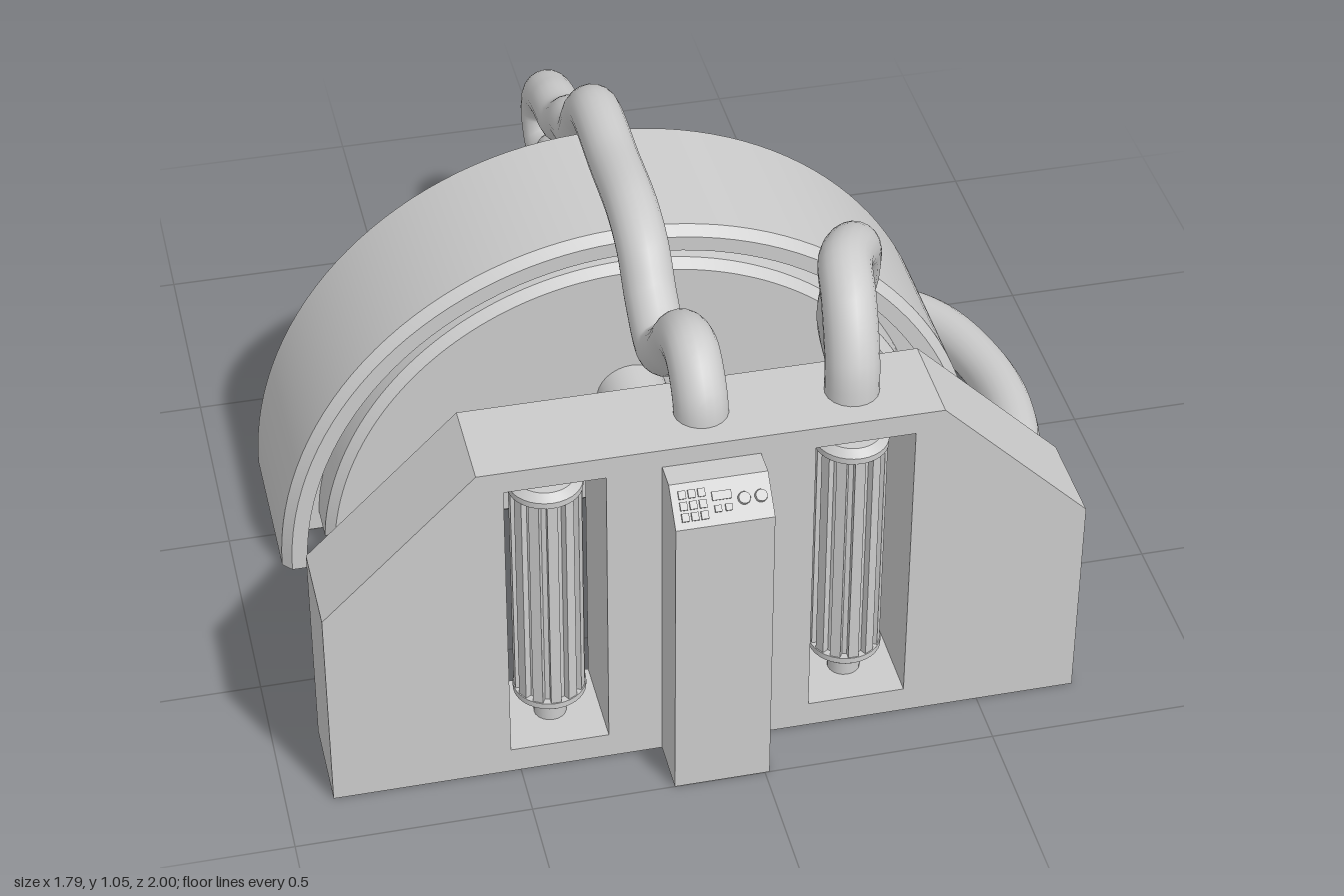
import * as THREE from 'three';
import { toCreasedNormals } from 'three/addons/utils/BufferGeometryUtils.js';

const grey = new THREE.MeshStandardMaterial({ color: 0xcccccc, side: THREE.DoubleSide });
const AXIS_X = -0.09;

function add(parent, name, geo, x = 0, y = 0, z = 0) {
  const mesh = new THREE.Mesh(geo, grey);
  mesh.name = name;
  mesh.position.set(x, y, z);
  parent.add(mesh);
  return mesh;
}

const polygon = (pts) => new THREE.Shape(pts.map(([x, y]) => new THREE.Vector2(x, y)));

// Drops the triangles lying on the ground, leaving a hollow shell
function openBottom(geo) {
  const p = geo.attributes.position, n = geo.attributes.normal;
  const pos = [], nor = [];
  for (let i = 0; i < p.count; i += 3) {
    if ([0, 1, 2].every((k) => Math.abs(p.getY(i + k)) < 1e-4)) continue;
    for (let k = i; k < i + 3; k++) {
      pos.push(p.getX(k), p.getY(k), p.getZ(k));
      nor.push(n.getX(k), n.getY(k), n.getZ(k));
    }
  }
  const out = new THREE.BufferGeometry();
  out.setAttribute('position', new THREE.Float32BufferAttribute(pos, 3));
  out.setAttribute('normal', new THREE.Float32BufferAttribute(nor, 3));
  return out;
}

// Revolved profile of [radius, height] pairs
function lathe(pts, segments, start = 0, length = Math.PI * 2) {
  const g = new THREE.LatheGeometry(pts.map(([r, h]) => new THREE.Vector2(r, h)), segments, start, length);
  return toCreasedNormals(g, 0.45);
}

function hose(parent, name, pts) {
  const curve = new THREE.CatmullRomCurve3(pts.map((p) => new THREE.Vector3(...p)));
  add(parent, name, new THREE.TubeGeometry(curve, 160, 0.057, 20, false));
}

// Ribbed canister on a thin rod
function makeCanister(x) {
  const g = new THREE.Group();
  g.name = 'ribbedCanister';
  g.position.set(x, 0, 0.77);
  add(g, 'rod', new THREE.CylinderGeometry(0.035, 0.035, 0.7, 20), 0, 0.41, 0);
  add(g, 'core', new THREE.CylinderGeometry(0.062, 0.062, 0.56, 32), 0, 0.41, 0);
  const cap = [[0, -0.015], [0.062, -0.015], [0.078, 0], [0.078, 0.014], [0, 0.014]];
  add(g, 'bottomCap', lathe(cap, 32), 0, 0.13, 0);
  add(g, 'topCap', lathe(cap, 32), 0, 0.69, 0).rotation.x = Math.PI;
  for (let i = 0; i < 12; i++) {
    const a = (i / 12) * Math.PI * 2;
    const rib = add(g, 'rib', new THREE.BoxGeometry(0.022, 0.54, 0.02), Math.sin(a) * 0.065, 0.41, Math.cos(a) * 0.065);
    rib.rotation.y = a;
  }
  return g;
}

// Pressure tank pointing backwards
function makeTank(x, y) {
  const g = new THREE.Group();
  g.name = 'tank';
  g.position.set(x, y, -0.26);
  g.rotation.x = -Math.PI / 2;
  add(g, 'tankBody', lathe([[0.154, 0], [0.154, 0.25], [0.088, 0.335], [0.058, 0.335], [0.058, 0.345],
    [0.052, 0.35], [0.038, 0.35], [0.034, 0.34], [0, 0.34]], 40));
  return g;
}

export function createModel() {
  const model = new THREE.Group();
  model.name = 'generator';

  // Front panel with two windows
  const panel = polygon([[-0.9, 0], [0.715, 0], [0.715, 0.49], [0.395, 0.81], [-0.575, 0.81], [-0.9, 0.49]]);
  for (const x of [-0.415, 0.23]) {
    const w = 0.105;
    panel.holes.push(new THREE.Path([[x - w, 0.06], [x - w, 0.76], [x + w, 0.76], [x + w, 0.06]]
      .map(([a, b]) => new THREE.Vector2(a, b))));
    model.add(makeCanister(x));
  }
  const panelGeo = new THREE.ExtrudeGeometry(panel, { depth: 0.212, bevelEnabled: false });
  add(model, 'frontPanel', openBottom(panelGeo.translate(0, 0, 0.665)));

  // Console with a sloped top: side profile swept along x
  const side = polygon([[-0.875, 0], [-0.875, 0.767], [-0.935, 0.767], [-1, 0.7], [-1, 0]]);
  const consoleGeo = new THREE.ExtrudeGeometry(side, { depth: 0.205, bevelEnabled: false });
  add(model, 'console', openBottom(consoleGeo.rotateY(Math.PI / 2).translate(-0.195, 0, 0)));

  // Buttons on the slope
  const controls = new THREE.Group();
  controls.name = 'controls';
  controls.position.set(AXIS_X, 0.7335, 0.9675);
  controls.rotation.x = 0.77;
  for (let i = 0; i < 3; i++) {
    for (let j = 0; j < 3; j++) {
      add(controls, 'key', new THREE.BoxGeometry(0.015, 0.008, 0.017), -0.082 + i * 0.02, 0.002, -0.023 + j * 0.023);
    }
  }
  add(controls, 'display', new THREE.BoxGeometry(0.04, 0.006, 0.018), -0.002, 0.002, -0.012);
  for (const x of [-0.013, 0.009]) add(controls, 'switch', new THREE.BoxGeometry(0.014, 0.008, 0.014), x, 0.002, 0.014);
  for (const x of [0.043, 0.078]) add(controls, 'knob', new THREE.CylinderGeometry(0.012, 0.014, 0.01, 16), x, 0.003, 0);
  model.add(controls);

  // Half-round drum rim with a groove on both faces
  const rim = lathe([[0.66, -0.16], [0.75, -0.16], [0.75, -0.29], [0.785, -0.29], [0.805, -0.268],
    [0.805, 0.108], [0.785, 0.13], [0.75, 0.13], [0.75, 0], [0.66, 0]], 64, Math.PI / 2, Math.PI);
  add(model, 'drumRim', rim.rotateX(Math.PI / 2), AXIS_X, 0, 0);

  // Solid half-disc filling the rim
  const half = new THREE.Shape();
  const start = Math.asin(0.07 / 0.685);
  half.absarc(0, 0, 0.685, start, Math.PI - start, false);
  const core = new THREE.ExtrudeGeometry(half, {
    depth: 0.34, bevelEnabled: true, bevelSize: 0.02, bevelThickness: 0.02, bevelSegments: 1, curveSegments: 48,
  });
  add(model, 'drumCore', toCreasedNormals(core, 0.4), AXIS_X, 0, -0.25);

  // Shaft between drum and panel
  const shaft = new THREE.CylinderGeometry(0.08, 0.08, 0.6, 32).rotateX(Math.PI / 2);
  add(model, 'shaft', shaft, AXIS_X, 0.35, 0.37);

  // Tanks behind the drum
  for (const [x, y] of [[-0.418, 0.275], [AXIS_X, 0.475], [0.232, 0.275]]) model.add(makeTank(x, y));

  // Upper hose stays in one plane: [z, y]
  hose(model, 'upperHose', [[0.775, 0.76], [0.76, 0.84], [0.69, 0.9], [0.6, 0.875], [0.5, 0.77], [0.41, 0.71],
    [0.31, 0.76], [0.23, 0.835], [0.13, 0.868], [-0.05, 0.868], [-0.26, 0.865], [-0.34, 0.81], [-0.42, 0.71], [-0.52, 0.672],
    [-0.62, 0.605], [-0.74, 0.58], [-0.83, 0.54], [-0.86, 0.475], [-0.825, 0.415], [-0.75, 0.41], [-0.68, 0.465],
    [-0.57, 0.478]].map(([z, y]) => [AXIS_X, y, z]));

  // Lower hose runs over the ground around the drum
  hose(model, 'lowerHose', [[0.225, 0.76, 0.775], [0.23, 0.87, 0.755], [0.24, 0.97, 0.68], [0.255, 0.997, 0.59],
    [0.305, 0.95, 0.48], [0.328, 0.83, 0.4], [0.325, 0.68, 0.345], [0.35, 0.55, 0.322], [0.395, 0.4, 0.335],
    [0.45, 0.26, 0.325], [0.52, 0.13, 0.28], [0.6, 0.07, 0.25], [0.71, 0.058, 0.23], [0.8, 0.058, 0.15], [0.835, 0.058, 0],
    [0.825, 0.058, -0.17], [0.75, 0.058, -0.37], [0.6, 0.058, -0.49], [0.48, 0.058, -0.56], [0.455, 0.058, -0.64],
    [0.51, 0.058, -0.74], [0.53, 0.058, -0.84], [0.465, 0.058, -0.92], [0.36, 0.06, -0.943], [0.27, 0.065, -0.89],
    [0.237, 0.12, -0.815], [0.233, 0.21, -0.77], [0.233, 0.268, -0.7], [0.233, 0.276, -0.57]]);

  return model;
}
